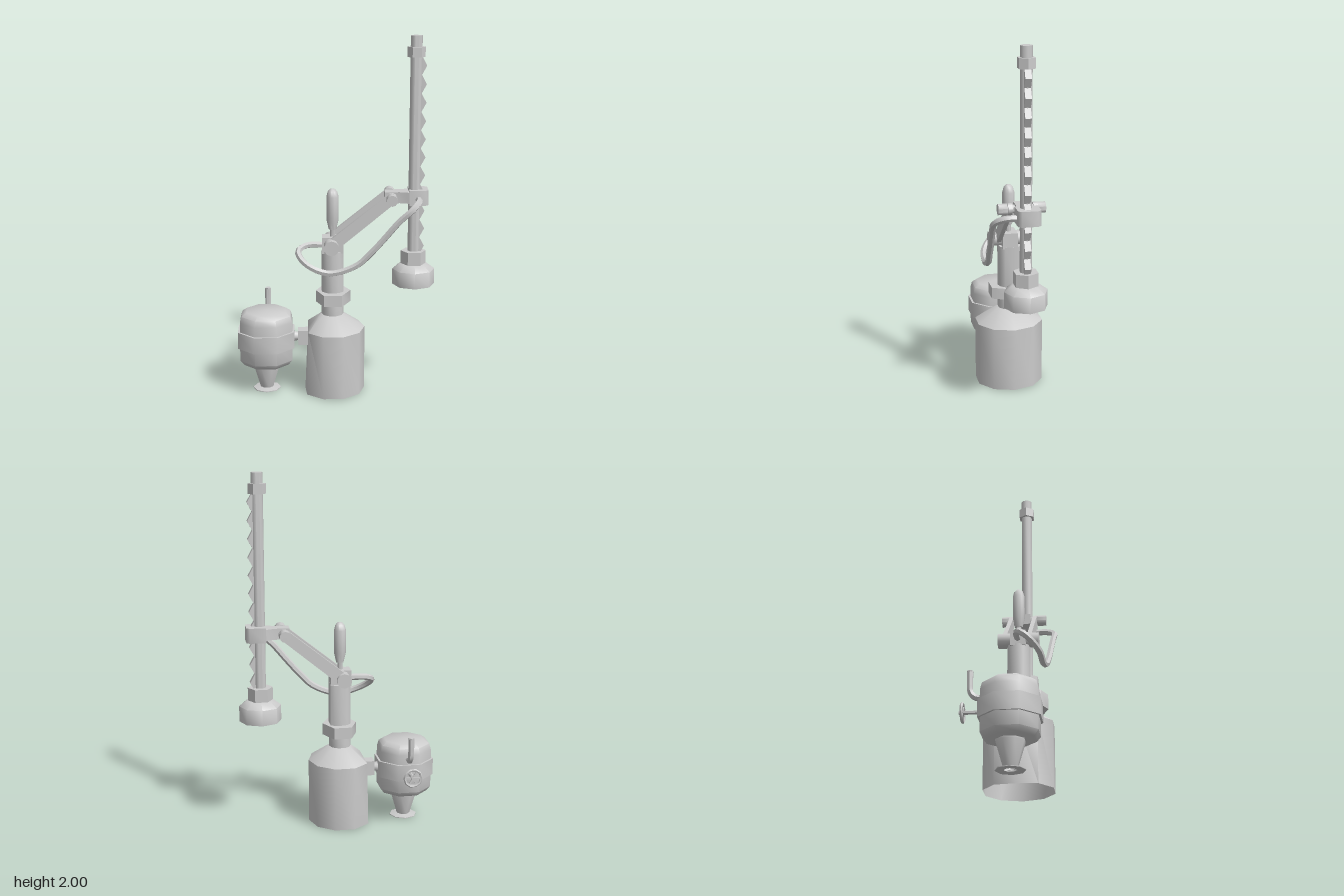
import * as THREE from 'three';
import { toCreasedNormals } from 'three/addons/utils/BufferGeometryUtils.js';

const V = (x, y, z) => new THREE.Vector3(x, y, z);
const Z = 0.035; // shared centre plane of column, arm, mast and tank

export function createModel() {
  const root = new THREE.Group();
  const solid = new THREE.MeshStandardMaterial({ color: 0xcccccc });
  const open = new THREE.MeshStandardMaterial({ color: 0xcccccc, side: THREE.DoubleSide });

  function add(name, geo, x = 0, y = 0, z = 0, parent = root, mat = solid) {
    const mesh = new THREE.Mesh(toCreasedNormals(geo, 0.9), mat);
    mesh.name = name;
    mesh.position.set(x, y, z);
    parent.add(mesh);
    return mesh;
  }
  // Faceted turned part; profile runs from bottom to top
  const turned = (pts, sides, start = Math.PI / 2) =>
    new THREE.LatheGeometry(pts.map(p => new THREE.Vector2(p[0], p[1])), sides, start);
  const extrude = (shape, depth) =>
    new THREE.ExtrudeGeometry(shape, { depth, bevelEnabled: false, curveSegments: 5 });
  const polygon = pts => new THREE.Shape(pts.map(p => new THREE.Vector2(p[0], p[1])));
  // Polygon drawn in x and z, raised along y
  const plate = (pts, height) =>
    extrude(polygon(pts.map(([x, z]) => [x, -z])), height).rotateX(-Math.PI / 2);
  const hose = (pts, r, n) =>
    new THREE.TubeGeometry(new THREE.CatmullRomCurve3(pts), n, r, 6);
  // Pin lying along z
  const pin = (r, length, sides = 10) =>
    new THREE.CylinderGeometry(r, r, length, sides).rotateX(Math.PI / 2);
  // Flatten the -x side of a part; the limit may lean with height
  function flatten(geo, limit) {
    const p = geo.attributes.position;
    for (let i = 0; i < p.count; i++) p.setX(i, Math.max(p.getX(i), limit(p.getY(i))));
    return geo;
  }

  // Base drum, hollow and open below, with its tank side flattened
  const drum = turned([[0.181, 0], [0.181, 0.365], [0.064, 0.445], [0, 0.445]], 10);
  drum.scale(1, 1, 1.07);
  add('baseDrum', flatten(drum, y => -0.156 + y * 0.05), -0.02, 0, Z, root, open);

  // Neck, collar and column
  add('neck', turned([[0.062, 0.44], [0.062, 0.53]], 10), -0.02, 0, Z, root, open);
  const collar = turned([[0, 0.515], [0.1, 0.515], [0.1, 0.58], [0, 0.58]], 6);
  collar.scale(1, 1, 1.22);
  add('collar', flatten(collar, () => -0.093), -0.02, 0, Z);
  add('column', plate([[0.06, 0.03], [0.06, -0.045], [0.04, -0.06], [0, -0.064], [-0.035, -0.055],
    [-0.056, -0.03], [-0.062, 0], [-0.056, 0.03], [-0.035, 0.055], [0, 0.064], [0.035, 0.055]], 0.24),
    -0.02, 0.575, Z);
  add('columnHead', new THREE.BoxGeometry(0.118, 0.09, 0.085), -0.02, 0.85, Z);
  add('handle', turned([[0.014, 0.89], [0.014, 0.935], [0.021, 0.935], [0.034, 0.99],
    [0.034, 1.12], [0.026, 1.15], [0.014, 1.163], [0, 1.166]], 10), -0.02, 0, Z);

  // Parallel arm bars and their pivots
  const lower = V(-0.028, 0.852, Z), upper = V(0.302, 1.12, Z);
  const dx = upper.x - lower.x, dy = upper.y - lower.y;
  const length = Math.hypot(dx, dy), half = 0.034;
  const barShape = new THREE.Shape();
  barShape.absarc(length, 0, half * 0.9, -Math.PI / 2, Math.PI / 2);
  barShape.absarc(0, 0, half, Math.PI / 2, Math.PI * 1.5);
  for (const z of [-0.053, 0.083]) {
    const bar = add('armBar', extrude(barShape, 0.024), lower.x, lower.y, z);
    bar.rotation.z = Math.atan2(dy, dx);
  }
  add('lowerPivot', pin(0.042, 0.225), lower.x, lower.y, Z);
  add('upperPivot', pin(0.023, 0.24), upper.x, upper.y, 0.03);
  for (const z of [-0.072, 0.134]) add('pivotCap', pin(0.031, 0.05), upper.x, upper.y, z);

  // Clamp joining the arm to the mast
  add('clampLink', plate([[-0.163, -0.038], [-0.08, -0.038], [-0.02, -0.062],
    [-0.02, 0.058], [-0.08, 0.038], [-0.163, 0.038]], 0.062), 0.43, 1.088, 0.031);
  add('clamp', plate([[-0.03, -0.063], [0.06, -0.063], [0.077, -0.045],
    [0.077, 0.042], [0.06, 0.06], [-0.03, 0.06]], 0.084), 0.43, 1.077, 0.029);

  // Mast with toothed rack
  const mast = new THREE.Group();
  mast.name = 'mast';
  mast.position.set(0.431, 0, Z);
  root.add(mast);
  add('mastTube', turned([[0.032, 0.7], [0.032, 2], [0, 2]], 10), 0, 0, 0, mast);
  add('topNut', turned([[0, 1.885], [0.049, 1.885], [0.049, 1.94], [0, 1.94]], 6), 0, 0, 0, mast);
  const teeth = [[0.015, 0.79]];
  for (let y = 0.79; y < 1.85; y += 0.1) teeth.push([0.03, y], [0.057, y + 0.05]);
  teeth.push([0.03, 1.89], [0.015, 1.89]);
  add('rack', extrude(polygon(teeth), 0.034), 0, 0, -0.017, mast);
  add('headNut', turned([[0, 0.73], [0.07, 0.73], [0.07, 0.81], [0, 0.81]], 6), 0, 0, 0, mast);
  add('workHead', turned([[0, 0.617], [0.118, 0.617], [0.118, 0.705], [0.075, 0.737], [0, 0.737]], 8),
    0.002, 0, 0, mast);

  // Hose looping from the clamp round to the column
  add('feedHose', hose([V(0.45, 1.11, 0.07), V(0.45, 1.112, 0.14), V(0.415, 1.083, 0.195),
    V(0.34, 1.015, 0.195), V(0.26, 0.92, 0.188), V(0.19, 0.84, 0.183), V(0.11, 0.765, 0.175),
    V(-0.03, 0.718, 0.168), V(-0.13, 0.742, 0.158), V(-0.195, 0.785, 0.115),
    V(-0.21, 0.82, 0.07), V(-0.165, 0.843, 0.038), V(-0.06, 0.845, 0.035)], 0.018, 44),
    0, 0, 0, root, open);

  // Tank on its tapered, hollow foot
  const tank = new THREE.Group();
  tank.name = 'tank';
  tank.position.set(-0.395, 0, Z);
  root.add(tank);
  const flats = Math.PI / 8;
  add('tankBody', turned([[0, 0.15], [0.135, 0.157], [0.158, 0.185], [0.16, 0.3], [0.158, 0.41],
    [0.148, 0.445], [0.118, 0.465], [0, 0.467]], 8, flats), 0, 0, 0, tank);
  add('tankBand', turned([[0.155, 0.26], [0.171, 0.26], [0.171, 0.355], [0.155, 0.355]], 8, flats),
    0, 0, 0, tank);
  add('tankFunnel', turned([[0.036, 0.004], [0.078, 0.145], [0.078, 0.16]], 8, flats),
    0, 0, 0, tank, open);
  add('tankFoot', turned([[0.036, 0], [0.078, 0], [0.078, 0.004], [0.036, 0.012]], 8),
    0, 0, 0, tank, open);

  // Coupling between tank and drum
  const coupling = new THREE.CylinderGeometry(0.02, 0.034, 0.06, 8).rotateZ(-Math.PI / 2);
  add('coupling', coupling, -0.225, 0.307, 0.028);
  add('couplingBlock', new THREE.BoxGeometry(0.06, 0.085, 0.07), -0.185, 0.307, 0.03);

  // Outlet pipe and valve wheel behind the tank
  add('outletPipe', hose([V(-0.39, 0.385, -0.1), V(-0.39, 0.388, -0.14), V(-0.39, 0.415, -0.168),
    V(-0.39, 0.46, -0.172), V(-0.39, 0.53, -0.172)], 0.017, 14), 0, 0, 0, root, open);
  add('pipeCap', new THREE.CylinderGeometry(0.017, 0.017, 0.008, 6), -0.39, 0.53, -0.172);
  add('valveStem', pin(0.011, 0.125, 6), -0.395, 0.308, -0.163);
  add('valveWheel', new THREE.TorusGeometry(0.048, 0.008, 5, 10), -0.395, 0.308, -0.207);
  for (let i = 0; i < 3; i++) {
    const spoke = add('wheelSpoke', new THREE.BoxGeometry(0.094, 0.01, 0.008), -0.395, 0.308, -0.207);
    spoke.rotation.z = i * Math.PI / 3;
  }
  return root;
}
